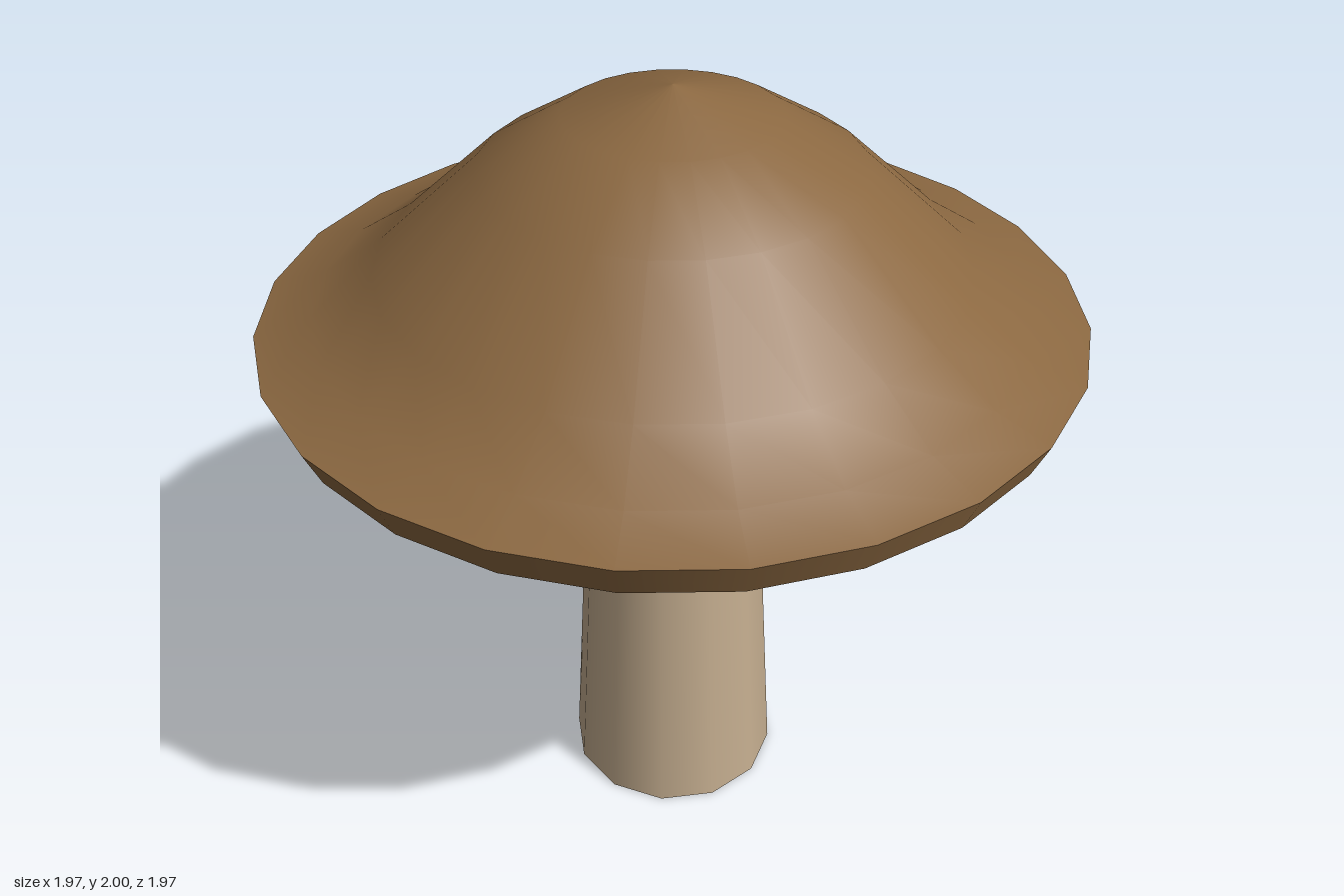
import * as THREE from 'three';

const capMaterial = new THREE.MeshStandardMaterial({ name: 'cap brown', color: 0x8b6841 });
const stemMaterial = new THREE.MeshStandardMaterial({ name: 'stem beige', color: 0xc4ad8f });

export function createModel() {
  const model = new THREE.Group();
  model.name = 'mushroom';

  const add = (name, geometry, material, y = 0) => {
    const mesh = new THREE.Mesh(geometry, material);
    mesh.name = name;
    mesh.position.y = y;
    model.add(mesh);
  };
  // Each profile is turned separately so the edges between them stay sharp
  const turned = (profile) =>
    new THREE.LatheGeometry(profile.map(([r, y]) => new THREE.Vector2(r, y)), 24);

  // Cap: bell-shaped top, slanted rim and hollow underside
  add('capTop', turned([
    [0.985, 1.443], [0.85, 1.48], [0.7, 1.58], [0.45, 1.81], [0.25, 1.932], [0, 2],
  ]), capMaterial);
  add('capRim', turned([[0.948, 1.355], [0.985, 1.443]]), capMaterial);
  add('capUnderside', turned([[0, 1.45], [0.75, 1.42], [0.948, 1.355]]), capMaterial);

  // Flat gill disc set into the hollow
  add('gillDisc', new THREE.CylinderGeometry(0.78, 0.78, 0.06, 24), capMaterial, 1.405);

  // Tapered stem
  add('stem', new THREE.CylinderGeometry(0.198, 0.28, 1.4, 12), stemMaterial, 0.7);

  return model;
}
